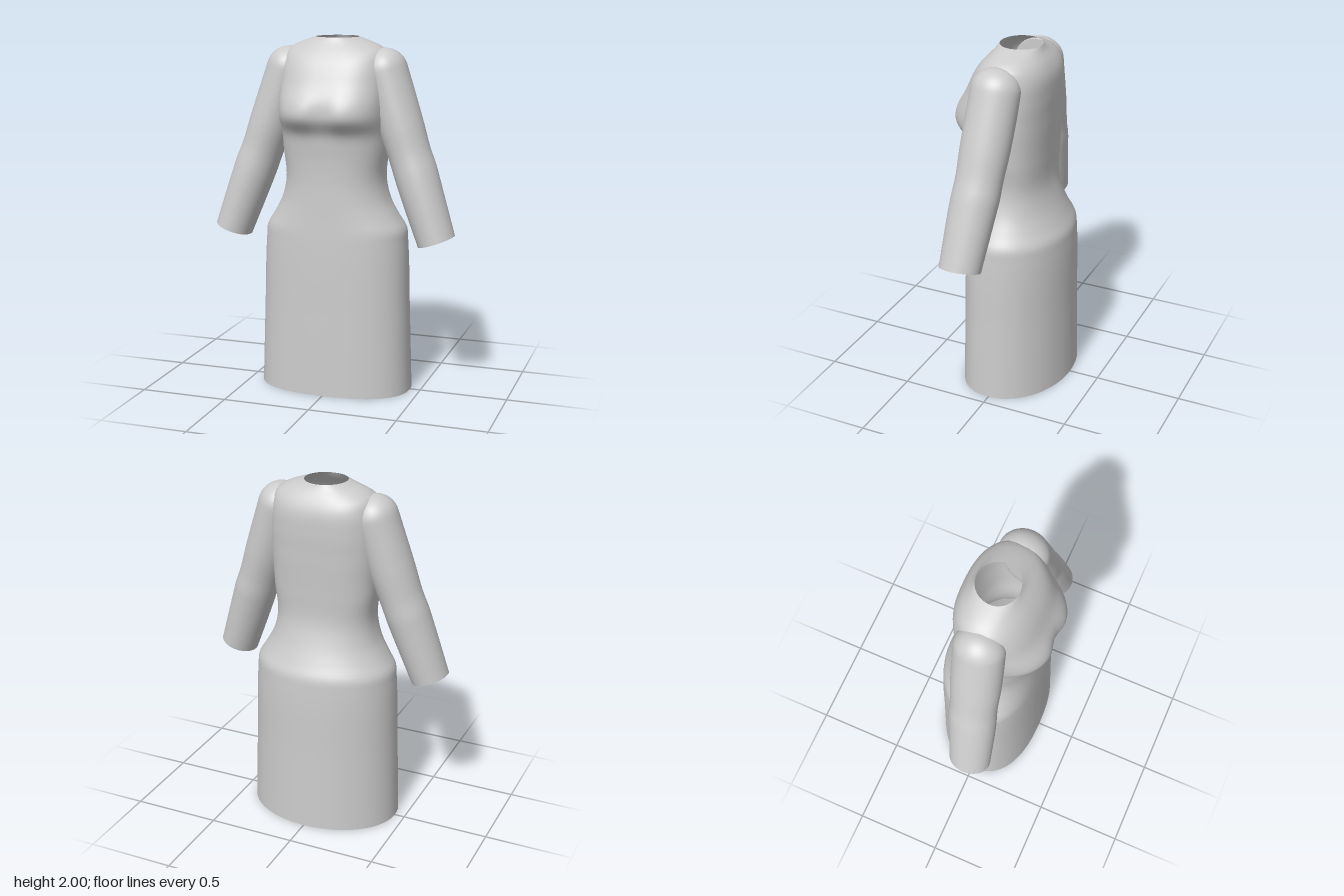
import * as THREE from 'three';

const SEG = 72;

// Skin a list of closed rings (arrays of SEG points) into one open, smooth tube.
function loft(rings) {
  const idx = [];
  for (let i = 0; i < rings.length - 1; i++) {
    for (let j = 0; j < SEG; j++) {
      const a = i * SEG + j, b = i * SEG + ((j + 1) % SEG);
      idx.push(a, a + SEG, b, b, a + SEG, b + SEG);
    }
  }
  const g = new THREE.BufferGeometry().setFromPoints(rings.flat());
  g.setIndex(idx);
  g.computeVertexNormals();
  return g;
}

const ring = (fn) => Array.from({ length: SEG }, (_, j) => fn((j / SEG) * Math.PI * 2));
const power = (v, n) => Math.sign(v) * Math.abs(v) ** (2 / n);
const bump = (v, center, width) => Math.exp(-(((v - center) / width) ** 2));

// Smooth curve through rows of [key, ...values]
function smoothRows(rows) {
  const size = rows[0].length - 1;
  const curve = new THREE.CubicInterpolant(
    rows.map((r) => r[0]), rows.flatMap((r) => r.slice(1)), size, new Float32Array(size));
  return (key) => [...curve.evaluate(key)];
}

// Dress body: height, half width, front depth, back depth
const bodyAt = smoothRows([
  [0, 0.44, 0.275, 0.325],
  [0.45, 0.425, 0.264, 0.316],
  [0.88, 0.409, 0.253, 0.307],
  [0.94, 0.402, 0.25, 0.3],
  [1.0, 0.365, 0.247, 0.27],
  [1.1, 0.31, 0.243, 0.225],
  [1.22, 0.281, 0.24, 0.19],
  [1.4, 0.296, 0.25, 0.189],
  [1.48, 0.3, 0.268, 0.193],
  [1.57, 0.305, 0.338, 0.198],
  [1.63, 0.307, 0.335, 0.2],
  [1.75, 0.306, 0.268, 0.205],
  [1.87, 0.293, 0.208, 0.197],
  [1.94, 0.268, 0.155, 0.163],
  [1.97, 0.21, 0.126, 0.139],
  [2, 0.12, 0.108, 0.126],
]);

function bodyGeometry() {
  const rings = [];
  for (let i = 0; i <= 100; i++) {
    const y = i / 50;
    const [w, front, back] = bodyAt(y);
    // squarer through the torso, round at the neck and the back of the skirt
    const neck = THREE.MathUtils.smoothstep(y, 1.88, 1.99);
    const torso = THREE.MathUtils.smoothstep(y, 1, 1.35);
    const frontPower = THREE.MathUtils.lerp(2.4 + 0.2 * torso, 2, neck);
    const backPower = THREE.MathUtils.lerp(2 + 0.5 * torso, 2, neck);
    const dip = 0.03 * bump(y, 1.59, 0.09);
    rings.push(ring((t) => {
      const s = Math.sin(t);
      const n = s > 0 ? frontPower : backPower;
      const x = w * power(Math.cos(t), n);
      const z = s > 0 ? front * power(s, n) - dip * bump(x, 0, 0.07) : back * power(s, n);
      return new THREE.Vector3(x, y, z);
    }));
  }
  return loft(rings);
}

// Sleeve: position along its length, x, y, z, radius
const sleeveAt = smoothRows([
  [0, 0.28, 1.82, 0.012, 0.125],
  [0.32, 0.38, 1.52, 0.03, 0.124],
  [0.5, 0.436, 1.36, 0.04, 0.118],
  [0.58, 0.466, 1.28, 0.046, 0.12],
  [0.64, 0.485, 1.225, 0.052, 0.119],
  [1, 0.6, 0.9, 0.08, 0.106],
]);

function sleeveGeometry(side) {
  const STEPS = 40;
  const section = ([x, y, z, r], dir, scale) => ring((t) => {
    const u = Math.cos(t) * r * scale;
    // the inner side stays tucked just beneath the body surface
    return new THREE.Vector3(
      side * Math.max(0.25, x - dir.y * u), y + dir.x * u, z + Math.sin(t) * r * 1.1 * scale);
  });
  const direction = (t) => {
    const [x0, y0] = sleeveAt(Math.max(0, t - 0.02));
    const [x1, y1] = sleeveAt(Math.min(1, t + 0.02));
    return new THREE.Vector2(x1 - x0, y1 - y0).normalize();
  };
  const rings = [];
  // rounded shoulder cap
  const [x, y, z, r] = sleeveAt(0);
  const top = direction(0);
  for (let k = 0; k < 10; k++) {
    const a = ((k + 0.02) / 10) * Math.PI / 2;
    const back = r * Math.cos(a);
    rings.push(section([x - top.x * back, y - top.y * back, z, r], top, Math.sin(a)));
  }
  // upper arm, elbow and forearm
  for (let i = 0; i <= STEPS; i++) {
    rings.push(section(sleeveAt(i / STEPS), direction(i / STEPS), 1));
  }
  // ring order keeps the faces pointing outward on both sides
  return loft(side > 0 ? rings.reverse() : rings);
}

export function createModel() {
  const group = new THREE.Group();
  group.name = 'dress';
  const cloth = new THREE.MeshStandardMaterial({ color: 0xcccccc, side: THREE.DoubleSide });
  const add = (name, geometry) => {
    const mesh = new THREE.Mesh(geometry, cloth);
    mesh.name = name;
    group.add(mesh);
  };
  add('dressBody', bodyGeometry());
  add('leftSleeve', sleeveGeometry(1));
  add('rightSleeve', sleeveGeometry(-1));
  return group;
}
